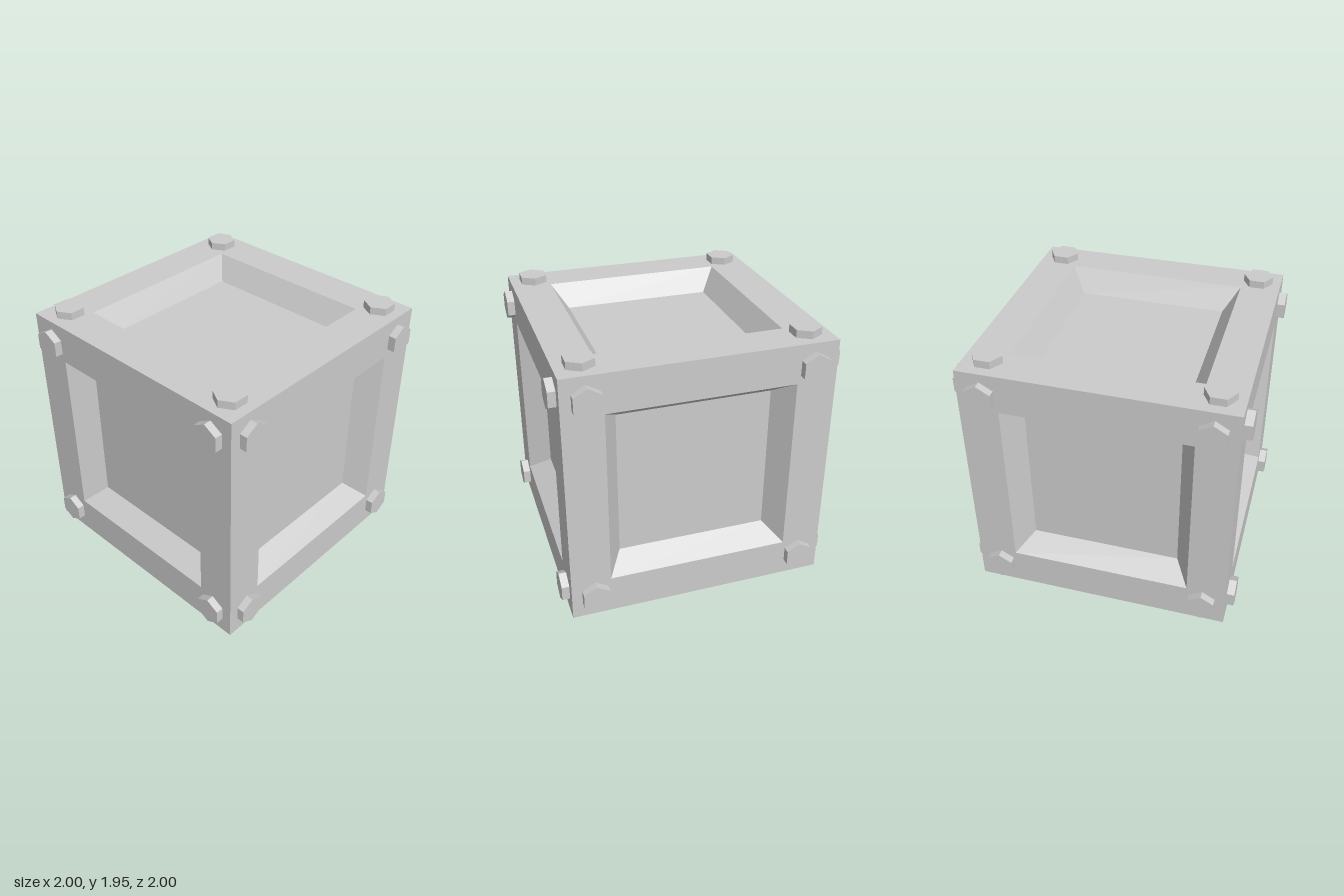
import * as THREE from 'three';

const HALF = 0.945;    // half width of the cube body
const OUTER = 0.66;    // half width of the recess opening
const INNER = 0.55;    // half width of the sunken panel
const DEPTH = 0.165;   // depth of the recess
const BOLT = 0.775;    // bolt offset from the face centre
const BOLT_H = 0.055;

// The body is an open shell, so its surfaces show from both sides
const material = new THREE.MeshStandardMaterial({
  color: 0xcccccc, flatShading: true, side: THREE.DoubleSide,
});

function part(name, geometry, z) {
  const mesh = new THREE.Mesh(geometry, material);
  mesh.name = name;
  mesh.position.z = z;
  return mesh;
}

function squarePath(Type, h) {
  return new Type([[-h, -h], [h, -h], [h, h], [-h, h]].map(([x, y]) => new THREE.Vector2(x, y)));
}

// Flat square ring facing +z
function ringGeometry(outer, inner) {
  const shape = squarePath(THREE.Shape, outer);
  shape.holes.push(squarePath(THREE.Path, inner));
  return new THREE.ShapeGeometry(shape);
}

// Four sloping walls facing inwards, narrowing from z = 0 back to z = -DEPTH
function bevelGeometry() {
  const g = new THREE.CylinderGeometry(OUTER * Math.SQRT2, INNER * Math.SQRT2, DEPTH, 4, 1, true)
    .rotateY(Math.PI / 4).rotateX(Math.PI / 2).translate(0, 0, -DEPTH / 2)
    .scale(-1, 1, 1) // mirroring turns the walls inwards
    .toNonIndexed();
  g.computeVertexNormals();
  return g;
}

// One side of the crate, facing +z
function createSide(name) {
  const side = new THREE.Group();
  side.name = name;
  side.add(part('frame', ringGeometry(HALF, OUTER), HALF));
  side.add(part('recessBevel', bevelGeometry(), HALF));
  side.add(part('panel', new THREE.PlaneGeometry(INNER * 2, INNER * 2), HALF - DEPTH));

  // Hexagonal corner bolts
  const bolt = new THREE.CylinderGeometry(0.109, 0.109, BOLT_H, 6).rotateX(Math.PI / 2);
  for (const x of [-BOLT, BOLT]) {
    for (const y of [-BOLT, BOLT]) {
      const mesh = part('bolt', bolt, HALF + BOLT_H / 2);
      mesh.position.x = x;
      mesh.position.y = y;
      side.add(mesh);
    }
  }
  return side;
}

export function createModel() {
  const model = new THREE.Group();
  model.name = 'crate';
  const body = new THREE.Group();
  body.name = 'body';
  body.position.y = HALF;
  model.add(body);

  // Four upright sides and the top; the underside is open
  ['frontSide', 'leftSide', 'backSide', 'rightSide'].forEach((name, i) => {
    const side = createSide(name);
    side.rotation.y = i * Math.PI / 2;
    body.add(side);
  });
  const top = createSide('topSide');
  top.rotation.x = -Math.PI / 2;
  body.add(top);

  // Narrow ledge just inside the open underside
  const underside = new THREE.Group();
  underside.name = 'underside';
  underside.add(part('ledge', ringGeometry(HALF, 0.86), HALF - 0.07));
  underside.rotation.x = Math.PI / 2;
  body.add(underside);
  return model;
}
